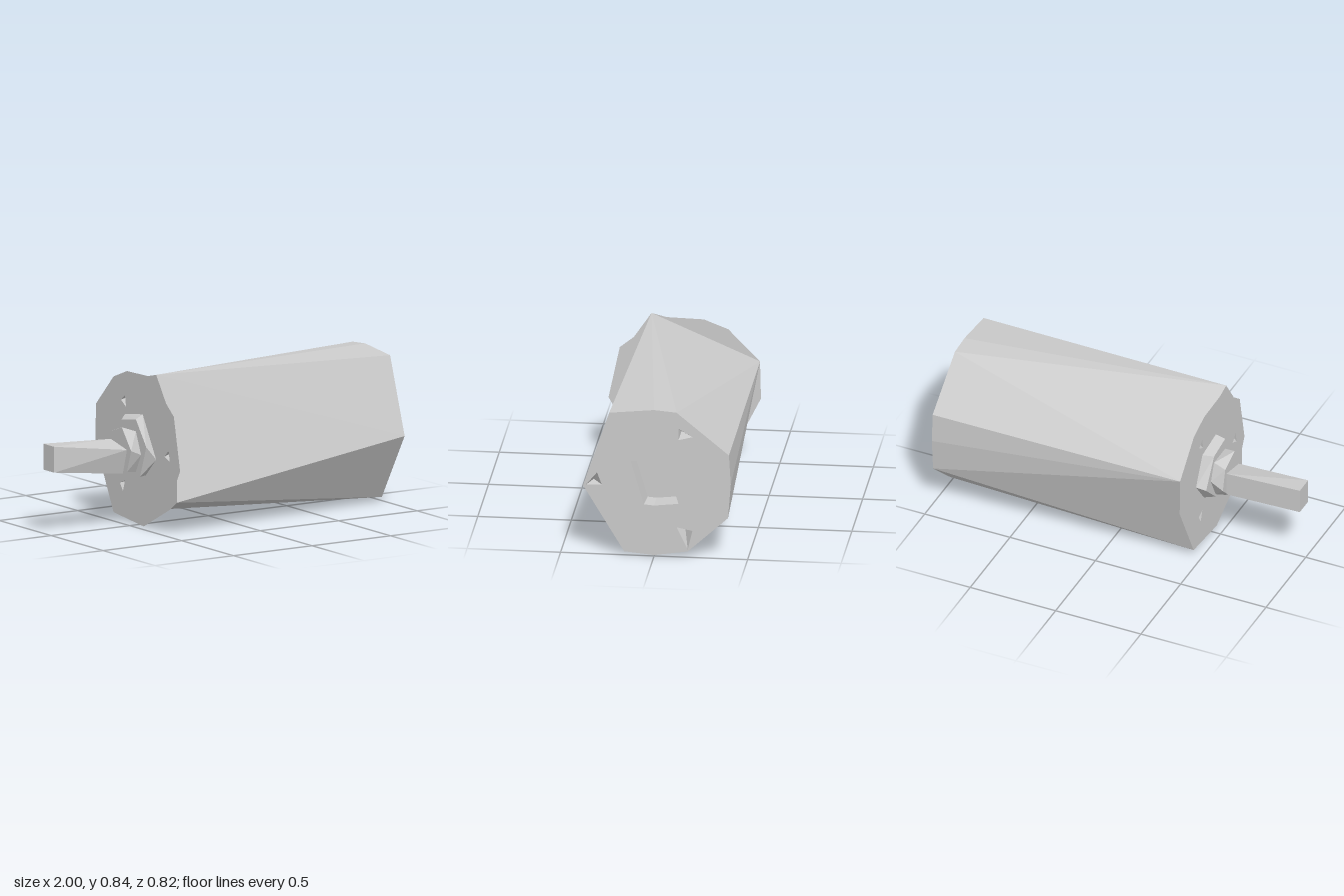
import * as THREE from 'three';

const solid = new THREE.MeshStandardMaterial({ color: 0xcccccc, flatShading: true });
const thin = new THREE.MeshStandardMaterial({ color: 0xcccccc, flatShading: true, side: THREE.DoubleSide });

// Outlines are [z, y] pairs, running clockwise as seen from +x.
const toVec = (ring) => ring.map(([z, y]) => new THREE.Vector2(-z, y));

// Skin between two outlines; fan[i] is the far corner that edge i of the near outline joins.
function loft(near, xNear, far, xFar, fan = near.map((_, i) => i)) {
  const pos = [];
  const n = near.length;
  const put = ([z, y], x) => pos.push(x, y, z);
  for (let i = 0; i < n; i++) {
    const j = (i + 1) % n;
    put(near[i], xNear); put(near[j], xNear); put(far[fan[i]], xFar);
    if (fan[i] !== fan[j]) {
      put(near[j], xNear); put(far[fan[j]], xFar); put(far[fan[i]], xFar);
    }
  }
  const geo = new THREE.BufferGeometry();
  geo.setAttribute('position', new THREE.Float32BufferAttribute(pos, 3));
  geo.computeVertexNormals();
  return geo;
}

// Flat plate across the axis, with optional holes
function plate(ring, x, holes = []) {
  const shape = new THREE.Shape(toVec(ring));
  for (const h of holes) shape.holes.push(new THREE.Path(toVec(h)));
  return new THREE.ShapeGeometry(shape).rotateY(Math.PI / 2).translate(x, 0, 0);
}

function add(parent, name, geo, mat = thin) {
  const mesh = new THREE.Mesh(geo, mat);
  mesh.name = name;
  parent.add(mesh);
}

// Pocket tapering from its rim towards a point
function pocket(parent, name, rim, x, depth, [cz, cy], taper) {
  const floor = rim.map(([z, y]) => [cz + (z - cz) * taper, cy + (y - cy) * taper]);
  add(parent, name + 'Walls', loft(rim, x, floor, x - depth));
  add(parent, name + 'Floor', plate(floor, x - depth));
}

export function createModel() {
  const group = new THREE.Group();
  group.name = 'motor';

  // Casing
  const endRing = [[0.24, 0.80], [0, 0.825], [-0.12, 0.815], [-0.4, 0.585], [-0.41, 0.42],
    [-0.395, 0.23], [-0.18, 0.033], [0, 0.005], [0.16, 0.02], [0.38, 0.385]];
  const rearRing = [[0.18, 0.84], [-0.4, 0.59], [-0.23, 0.03], [0.38, 0.18]];
  add(group, 'casing', loft(endRing, 1, rearRing, -0.45, [0, 0, 1, 1, 1, 2, 2, 2, 3, 0]), solid);

  // End plate with its bore and screw holes
  const bore = [[0.125, 0.53], [0, 0.545], [-0.06, 0.54], [-0.13, 0.30], [0, 0.285], [0.055, 0.29]];
  const screws = [
    { rim: [[-0.13, 0.725], [-0.205, 0.68], [-0.13, 0.66]], tip: [-0.14, 0.69] },
    { rim: [[-0.12, 0.167], [-0.205, 0.15], [-0.18, 0.043]], tip: [-0.16, 0.14] },
    { rim: [[0.305, 0.46], [0.28, 0.393], [0.365, 0.388]], tip: [0.33, 0.40] },
  ];
  add(group, 'endPlate', plate(endRing, 1, [bore, ...screws.map((s) => s.rim)]));
  pocket(group, 'bore', bore, 1, 0.12, [0, 0.29], 0.87);
  screws.forEach((s, i) => pocket(group, 'screwHole' + (i + 1), s.rim, 1, 0.06, s.tip, 0.05));

  // Flange on the shaft side
  const flangeRing = [[0.18, 0.84], [0.1, 0.82], [-0.1, 0.815], [-0.23, 0.765], [-0.4, 0.59], [-0.405, 0.38],
    [-0.23, 0.03], [0.06, 0], [0.31, 0.13], [0.38, 0.18], [0.38, 0.30], [0.41, 0.355], [0.35, 0.64],
    [0.275, 0.70]];
  const mounts = [
    [[-0.12, 0.68], [-0.16, 0.65], [-0.11, 0.62]],
    [[-0.12, 0.22], [-0.17, 0.2], [-0.14, 0.16]],
    [[0.3, 0.45], [0.26, 0.41], [0.31, 0.39]],
  ];
  add(group, 'flange', plate(flangeRing, -0.45, mounts));
  mounts.forEach((m, i) => pocket(group, 'mountHole' + (i + 1), m, -0.45, -0.05, m[0], 0.1));

  // Bearing boss, collar and shaft, each stepping outwards
  const steps = [
    ['bearingBoss', -0.45, -0.5,
      [[0.05, 0.605], [-0.12, 0.58], [-0.2, 0.42], [-0.1, 0.29], [0.08, 0.28], [0.18, 0.38]],
      [[0.06, 0.585], [-0.08, 0.56], [-0.18, 0.40], [-0.06, 0.285], [0.1, 0.28], [0.16, 0.45]]],
    ['collar', -0.5, -0.57,
      [[0.06, 0.52], [-0.08, 0.52], [-0.12, 0.42], [-0.06, 0.3], [0.06, 0.3], [0.11, 0.40]],
      [[0.03, 0.545], [-0.09, 0.50], [-0.12, 0.38], [-0.03, 0.295], [0.08, 0.31], [0.12, 0.43]]],
    ['shaft', -0.57, -1,
      [[0.08, 0.43], [-0.075, 0.465], [-0.075, 0.33], [0.04, 0.295]],
      [[0.03, 0.485], [-0.075, 0.485], [-0.075, 0.345], [0.03, 0.345]]],
  ];
  for (const [name, x0, x1, inner, outer] of steps) {
    add(group, name, loft(inner, x0, outer, x1), solid);
    add(group, name + 'Face', plate(outer, x1));
  }
  return group;
}
